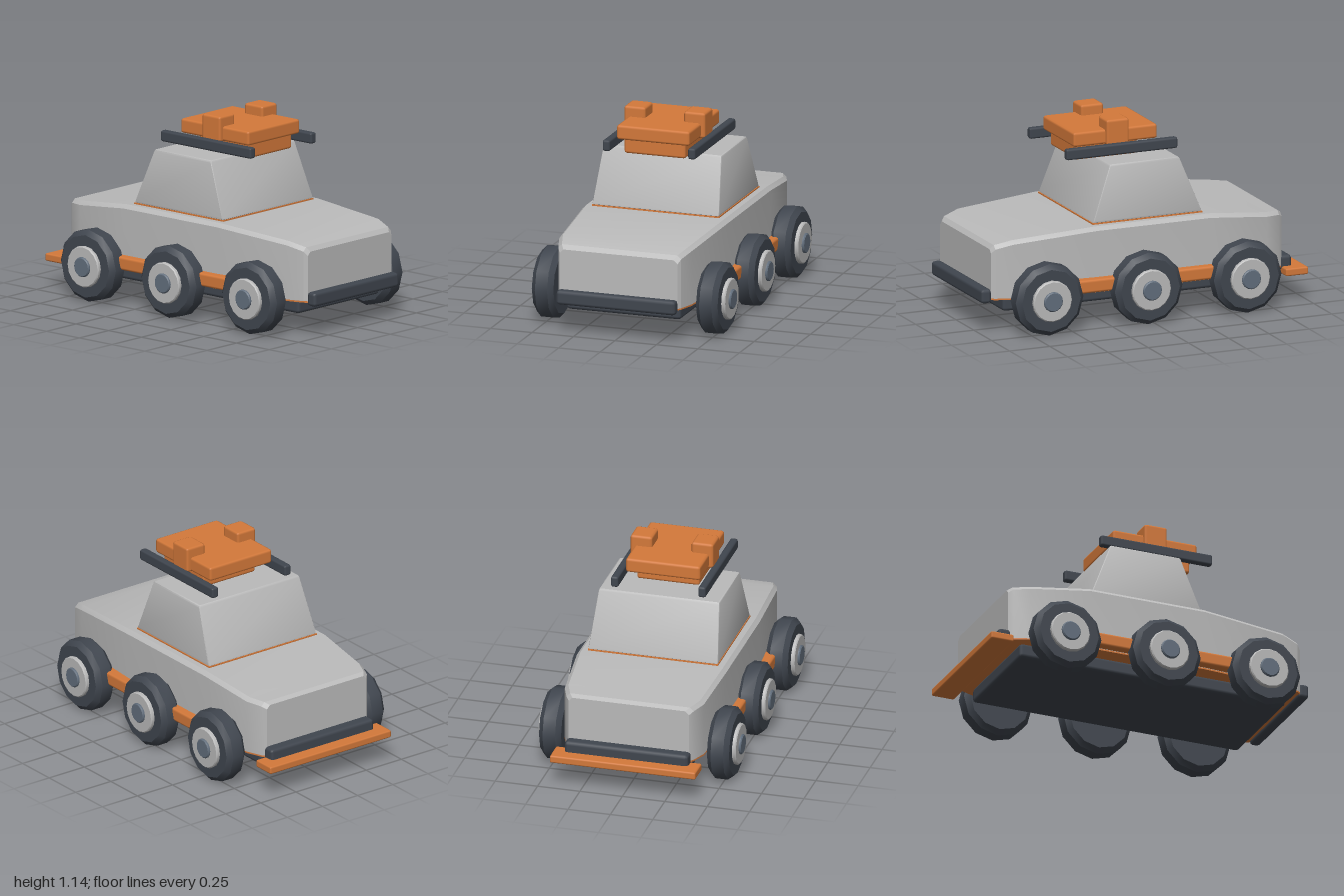
import * as THREE from 'three';
import { toCreasedNormals } from 'three/addons/utils/BufferGeometryUtils.js';
import { RoundedBoxGeometry } from 'three/addons/geometries/RoundedBoxGeometry.js';

function material(name, color) {
  const m = new THREE.MeshStandardMaterial({ color });
  m.name = name;
  return m;
}

// Skin a list of matching rings ([x, y, z] points) placed along +x, with end caps.
function loft(rings) {
  const n = rings[0].length;
  const index = [];
  for (let i = 0; i < rings.length - 1; i++) {
    for (let j = 0; j < n; j++) {
      const a = i * n + j, b = i * n + (j + 1) % n, c = b + n, d = a + n;
      index.push(a, d, b, b, d, c);
    }
  }
  const end = (rings.length - 1) * n;
  for (let k = 1; k < n - 1; k++) {
    index.push(0, k, k + 1, end, end + k + 1, end + k);
  }
  const g = new THREE.BufferGeometry();
  g.setAttribute('position', new THREE.Float32BufferAttribute(rings.flat(2), 3));
  g.setIndex(index);
  return toCreasedNormals(g, 0.35);
}

export function createModel() {
  const model = new THREE.Group();
  model.name = 'sixWheeledVehicle';
  const grey = material('bodyGrey', 0xbababa);
  const orange = material('trimOrange', 0xd4793a);
  const dark = material('rubberDark', 0x40464f);
  const steel = material('capSteel', 0x626e7c);

  function add(name, geometry, mat, parent = model) {
    const mesh = new THREE.Mesh(geometry, mat);
    mesh.name = name;
    parent.add(mesh);
    return mesh;
  }

  // Chamfered box given by its extents on each axis.
  function box(name, mat, [x0, x1], [y0, y1], [z0, z1], bevel = 0.015) {
    const g = new RoundedBoxGeometry(x1 - x0, y1 - y0, z1 - z0, 1, bevel);
    g.translate((x0 + x1) / 2, (y0 + y1) / 2, (z0 + z1) / 2);
    return add(name, g, mat);
  }

  // Hull: [x, half width, top height] stations
  const stations = [
    [-0.865, 0.355, 0.515], [-0.84, 0.375, 0.53], [-0.75, 0.41, 0.537],
    [-0.39, 0.44, 0.577], [0.32, 0.44, 0.577], [0.82, 0.4, 0.541],
    [0.92, 0.37, 0.515], [0.94, 0.355, 0.49],
  ];
  const bevel = 0.022;
  add('hull', loft(stations.map(([x, w, t]) => [
    [x, 0.205, -w], [x, 0.205, w], [x, t - bevel, w],
    [x, t, w - bevel], [x, t, bevel - w], [x, t - bevel, -w],
  ])), grey);
  add('hullFloor', loft(stations.map(([x, w]) => [
    [x, 0.196, -w], [x, 0.196, w], [x, 0.205, w], [x, 0.205, -w],
  ])), orange);

  // Cabin: a chamfered box tapered towards the roof
  const cabin = new RoundedBoxGeometry(1, 0.327, 1, 1, 0.012);
  const p = cabin.attributes.position;
  for (let i = 0; i < p.count; i++) {
    const t = p.getY(i) / 0.327 + 0.5;
    const mix = THREE.MathUtils.lerp;
    p.setXYZ(i,
      mix(-0.02, -0.015, t) + p.getX(i) * mix(0.68, 0.43, t),
      0.583 + t * 0.327,
      p.getZ(i) * mix(0.766, 0.71, t));
  }
  add('cabin', toCreasedNormals(cabin, 0.5), grey);
  const seam = new THREE.BoxGeometry(0.68, 0.009, 0.766);
  seam.translate(-0.02, 0.58, 0);
  add('cabinSeam', seam, orange);

  // Roof equipment
  box('roofPedestal', orange, [-0.045, 0.335], [0.91, 1.01], [-0.185, 0.185]);
  box('roofSlab', orange, [-0.155, 0.365], [0.995, 1.08], [-0.22, 0.22]);

  // Bumpers, rear step and belly plate
  box('frontBumper', dark, [0.935, 0.998], [0.176, 0.26], [-0.36, 0.36], 0.02);
  box('rearBumper', dark, [-0.926, -0.845], [0.176, 0.262], [-0.365, 0.365], 0.02);
  box('rearStep', orange, [-1, -0.86], [0.155, 0.2], [-0.43, 0.43], 0.01);
  box('bellyPlate', dark, [-0.785, 0.86], [0.115, 0.2], [-0.345, 0.345], 0.02);

  // Wheel pieces: chamfered discs turned about z
  function disc(radius, z0, z1, chamfer, sides) {
    const points = [
      [0, z0], [radius - chamfer, z0], [radius, z0 + chamfer],
      [radius, z1 - chamfer], [radius - chamfer, z1], [0, z1],
    ].map(([r, z]) => new THREE.Vector2(r, z));
    const g = new THREE.LatheGeometry(points, sides);
    g.rotateX(Math.PI / 2);
    return toCreasedNormals(g, 0.6);
  }
  const tyre = disc(0.21, -0.065, 0.065, 0.028, 12);
  const hub = disc(0.12, 0.05, 0.087, 0.006, 16);
  const cap = disc(0.058, 0.07, 0.1, 0.006, 16);

  for (const side of [1, -1]) {
    const label = side > 0 ? 'front' : 'back';
    const span = (a, b) => (side > 0 ? [a, b] : [-b, -a]);
    box(label + 'SideRail', orange, [-0.62, 0.7], [0.207, 0.285], span(0.38, 0.49));
    box(label + 'RoofBlock', orange, [0.03, 0.17], [0.99, 1.14], span(0.115, 0.245));
    box(label + 'RoofBar', dark, [-0.255, 0.435], [0.94, 1.004], span(0.235, 0.28), 0.012);

    [-0.575, 0.04, 0.655].forEach((x, i) => {
      const wheel = new THREE.Group();
      wheel.name = label + 'Wheel' + (i + 1);
      add('tyre', tyre, dark, wheel);
      add('hub', hub, grey, wheel);
      add('hubCap', cap, steel, wheel);
      wheel.position.set(x, 0.21, side * 0.495);
      if (side < 0) wheel.rotation.y = Math.PI;
      model.add(wheel);
    });
  }
  return model;
}
